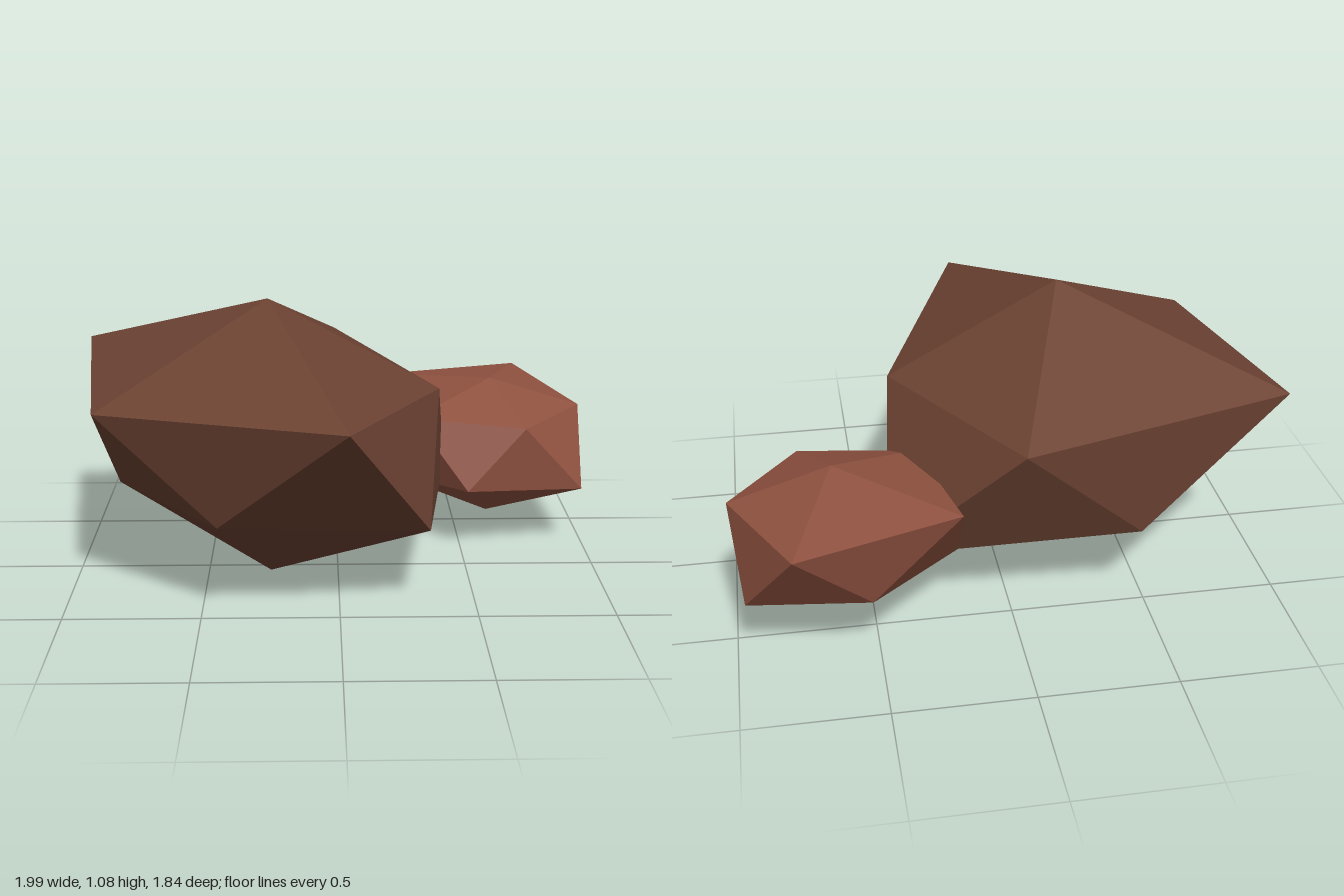
import * as THREE from 'three';

const STEP = (Math.PI * 2) / 5;

// Faceted boulder: twenty triangles between two poles and two staggered rings of five.
// Every ring corner is pushed in or out along its own ray from the centre.
function rockGeometry({ x, y, z, top, bottom, slope, upper, lower }) {
  const ring = (radii, turn, side) => radii.map((r, i) => {
    const a = (i + turn) * STEP;
    return [x + r * Math.cos(a), y + side * slope * r, z + r * Math.sin(a)];
  });
  const U = ring(upper, 0, 1);
  const L = ring(lower, 0.5, -1);
  const apex = [x, top, z];
  const base = [x, bottom, z];

  const points = [];
  for (let i = 0; i < 5; i++) {
    const j = (i + 1) % 5;
    points.push(
      apex, U[j], U[i], // crown
      U[i], U[j], L[i], // side, pointing down
      L[i], U[j], L[j], // side, pointing up
      base, L[i], L[j], // underside
    );
  }
  const geometry = new THREE.BufferGeometry();
  geometry.setAttribute('position', new THREE.Float32BufferAttribute(points.flat(), 3));
  geometry.computeVertexNormals();
  return geometry;
}

function addRock(group, name, material, shape) {
  const mesh = new THREE.Mesh(rockGeometry(shape), material);
  mesh.name = name;
  group.add(mesh);
}

export function createModel() {
  const group = new THREE.Group();
  group.name = 'rocks';

  const darkBrown = new THREE.MeshStandardMaterial({ color: 0x6d4333, flatShading: true });
  darkBrown.name = 'darkBrown';
  const rustBrown = new THREE.MeshStandardMaterial({ color: 0x905240, flatShading: true });
  rustBrown.name = 'rustBrown';

  // Large boulder
  addRock(group, 'largeRock', darkBrown, {
    x: -0.26, y: 0.537, z: 0.05, top: 1.075, bottom: 0, slope: 0.3,
    upper: [0.64, 0.914, 0.74, 0.912, 0.83],
    lower: [0.72, 0.55, 0.57, 0.65, 0.88],
  });

  // Small boulder leaning into its back left side
  addRock(group, 'smallRock', rustBrown, {
    x: 0.63, y: 0.4, z: -0.43, top: 0.643, bottom: 0.07, slope: 0.35,
    upper: [0.367, 0.35, 0.4, 0.52, 0.515],
    lower: [0.434, 0.37, 0.44, 0.34, 0.404],
  });

  return group;
}
